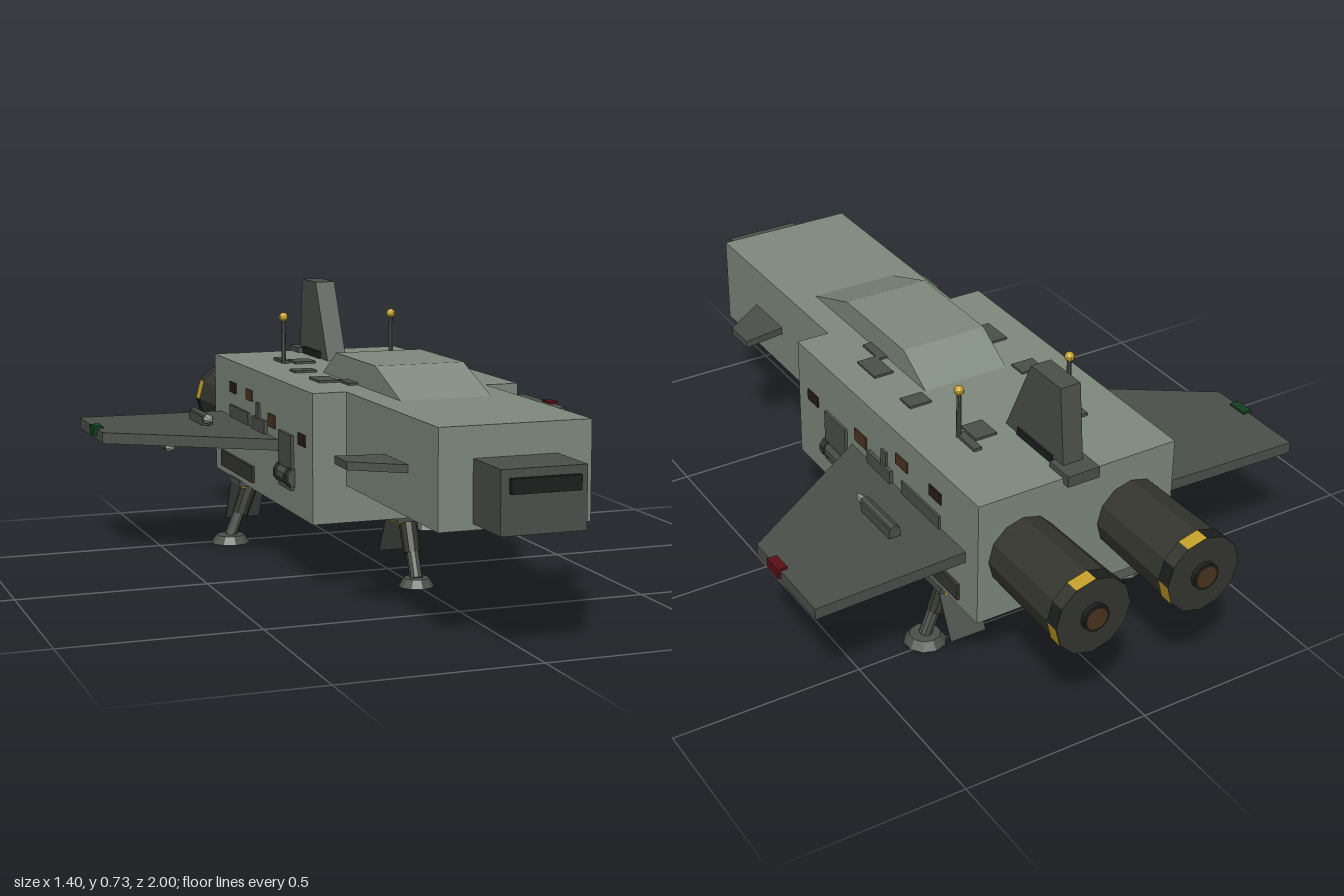
import * as THREE from 'three';

const mat = (color) => new THREE.MeshStandardMaterial({ color, flatShading: true });
const HULL = mat(0x7f8a7e), DARK = mat(0x4c504a), ENGINE = mat(0x35362f), BLACK = mat(0x1c1f1e);
const YELLOW = mat(0xc4a02a), BROWN = mat(0x4a3520), MAROON = mat(0x2c1c1a), RED = mat(0x5a1018);
const GREEN = mat(0x123f20), LIGHT = mat(0xa0a49c);

export function createModel() {
  const root = new THREE.Group();

  const add = (name, geo, material) => {
    const m = new THREE.Mesh(geo, material);
    m.name = name;
    root.add(m);
    return m;
  };
  // box given by its extents on each axis
  const box = (name, x0, x1, y0, y1, z0, z1, material) => {
    const m = add(name, new THREE.BoxGeometry(Math.abs(x1 - x0), y1 - y0, Math.abs(z1 - z0)), material);
    m.position.set((x0 + x1) / 2, (y0 + y1) / 2, (z0 + z1) / 2);
    return m;
  };
  const shape = (pts) => new THREE.Shape(pts.map(([a, b]) => new THREE.Vector2(a, b)));
  // plan outline (x, z), extruded from y0 to y1
  const slab = (name, pts, y0, y1, material) => {
    const g = new THREE.ExtrudeGeometry(shape(pts), { depth: y1 - y0, bevelEnabled: false });
    g.rotateX(Math.PI / 2).translate(0, y1, 0);
    return add(name, g, material);
  };
  // side outline (z, y), extruded across x
  const profile = (name, pts, width, material) => {
    const g = new THREE.ExtrudeGeometry(shape(pts), { depth: width, bevelEnabled: false });
    g.rotateY(-Math.PI / 2).translate(width / 2, 0, 0);
    return add(name, g, material);
  };
  // round bar between two points
  const rod = (name, a, b, ra, rb, sides, material) => {
    const p = new THREE.Vector3(...a), q = new THREE.Vector3(...b), d = q.clone().sub(p);
    const m = add(name, new THREE.CylinderGeometry(rb, ra, d.length(), sides), material);
    m.position.copy(p).add(q).multiplyScalar(0.5);
    m.quaternion.setFromUnitVectors(new THREE.Vector3(0, 1, 0), d.normalize());
    return m;
  };
  const ball = (name, x, y, z, r, material) =>
    add(name, new THREE.SphereGeometry(r, 10, 8), material).position.set(x, y, z);

  // fuselage
  box('mainHull', -0.28, 0.28, 0.18, 0.515, -0.69, 0.21, HULL);
  box('forwardHull', -0.19, 0.19, 0.275, 0.515, 0.2, 0.83, HULL);
  box('nose', -0.105, 0.105, 0.29, 0.44, 0.82, 0.985, DARK);
  box('noseSlot', -0.085, 0.085, 0.385, 0.42, 0.97, 1.0, BLACK);
  profile('canopy', [[0.41, 0.515], [0.23, 0.58], [-0.07, 0.58], [-0.18, 0.515]], 0.24, HULL);

  // tail fin and its footing
  profile('tailFin', [[-0.41, 0.51], [-0.665, 0.51], [-0.64, 0.73], [-0.515, 0.73]], 0.056, DARK);
  box('finFooting', -0.045, 0.045, 0.5, 0.53, -0.71, -0.63, DARK);
  box('finCollar', -0.034, 0.034, 0.51, 0.535, -0.62, -0.47, BLACK);

  // belly details
  box('bellyBracket', -0.045, 0.045, 0.172, 0.195, -0.705, -0.63, DARK);
  for (let i = 0; i < 4; i++) {
    const x = -0.12 + i * 0.08;
    box('bellyVent', x - 0.03, x + 0.03, 0.173, 0.185, -0.61, -0.56, BLACK);
  }
  box('gunPlate', -0.145, 0.145, 0.268, 0.28, 0.235, 0.46, DARK);

  // landing leg: top joint, foot centre, foot radius, door z and half width
  const leg = (top, foot, r, half, doorZ, drop) => {
    const [x, , z] = top;
    box('gearBay', x - half, x + half, 0.165, 0.183, z - 0.05, z + 0.05, DARK);
    for (const s of [-1, 1]) box('gearHinge', x + s * 0.03 - 0.008, x + s * 0.03 + 0.008, 0.158, 0.17, z - 0.05, z + 0.03, YELLOW);
    rod('legUpper', top, [0, 1, 2].map((i) => top[i] * 0.45 + foot[i] * 0.55), 0.025, 0.023, 10, ENGINE);
    rod('legLower', top, [foot[0], 0.02, foot[2]], 0.017, 0.017, 10, DARK);
    rod('foot', [foot[0], 0, foot[2]], [foot[0], 0.022, foot[2]], r, r * 0.72, 10, DARK);
    const door = box('gearDoor', x - half, x + half, 0.17 - drop, 0.17, -0.003, 0.003, DARK);
    door.position.z = doorZ;
    door.rotation.x = 0.47;
  };
  leg([0, 0.18, 0.14], [0, 0, 0.21], 0.046, 0.045, 0.078, 0.11);

  for (const s of [-1, 1]) {
    leg([s * 0.235, 0.18, -0.48], [s * 0.3, 0, -0.48], 0.055, 0.05, -0.55, 0.125);

    // wings, canards and tip lights
    slab('wing', [[s * 0.27, -0.635], [s * 0.69, -0.65], [s * 0.69, -0.355], [s * 0.27, -0.073]], 0.325, 0.355, DARK);
    slab('canard', [[s * 0.18, 0.487], [s * 0.31, 0.465], [s * 0.31, 0.555], [s * 0.18, 0.65]], 0.38, 0.4, DARK);
    box('tipLight', s * 0.672, s * 0.698, 0.335, 0.361, -0.48, -0.425, s > 0 ? RED : GREEN);

    // missiles above and below the wing
    for (const [x, y, z, dir] of [[0.395, 0.376, -0.5, -1], [0.5, 0.302, -0.515, 1]]) {
      box('missileRail', s * x - 0.015, s * x + 0.015, y - 0.012 + dir * 0.006, y + 0.012 + dir * 0.006, z, z + 0.14, DARK);
      rod('missileBody', [s * x, y, z], [s * x, y, z + 0.15], 0.014, 0.014, 8, DARK);
      rod('missileTip', [s * x, y, z + 0.15], [s * x, y, z + 0.19], 0.014, 0.001, 8, LIGHT);
    }

    // engine with hazard band and nozzle
    const ex = s * 0.155, ey = 0.348;
    rod('engine', [ex, ey, -0.68], [ex, ey, -0.985], 0.095, 0.102, 12, ENGINE);
    for (let i = 0; i < 12; i++) {
      const g = new THREE.CylinderGeometry(0.104, 0.104, 0.038, 1, 1, true, (i * Math.PI) / 6, Math.PI / 6);
      const band = add('hazardBand', g.rotateX(-Math.PI / 2), i % 3 === 0 ? YELLOW : i % 3 === 1 ? ENGINE : BLACK);
      band.position.set(ex, ey, -0.968);
    }
    rod('nozzleRim', [ex, ey, -0.98], [ex, ey, -0.997], 0.036, 0.036, 12, BLACK);
    rod('nozzle', [ex, ey, -0.98], [ex, ey, -1.0], 0.03, 0.03, 12, BROWN);

    // antenna
    rod('antenna', [s * 0.16, 0.51, -0.405], [s * 0.16, 0.64, -0.405], 0.007, 0.006, 8, DARK);
    ball('antennaBall', s * 0.16, 0.645, -0.405, 0.013, YELLOW);
    box('antennaBase', s * 0.143, s * 0.165, 0.51, 0.523, -0.485, -0.4, DARK);

    // chin gun
    const gx = s * 0.067;
    box('gunPylon', gx - 0.012, gx + 0.012, 0.24, 0.27, 0.37, 0.45, DARK);
    rod('gunBarrel', [gx, 0.235, 0.36], [gx, 0.235, 0.575], 0.012, 0.012, 8, DARK);
    rod('gunTip', [gx, 0.235, 0.57], [gx, 0.235, 0.583], 0.016, 0.016, 10, YELLOW);

    // deck panels: x0, x1, z0, z1
    for (const [x0, x1, z0, z1] of [[0.075, 0.135, -0.445, -0.375], [0.135, 0.197, -0.235, -0.185],
      [0.145, 0.2, -0.06, 0.03], [0.12, 0.145, 0.015, 0.1]])
      box('deckPanel', s * x0, s * x1, 0.51, 0.521, z0, z1, DARK);

    // side panels: y0, y1, z0, z1, outer x, material
    for (const [y0, y1, z0, z1, x, m] of [
      [0.37, 0.4, 0.1, 0.155, 0.284, MAROON], [0.38, 0.415, -0.16, -0.1, 0.284, BROWN],
      [0.425, 0.455, -0.365, -0.31, 0.284, BROWN], [0.425, 0.455, -0.525, -0.47, 0.284, MAROON],
      [0.24, 0.385, -0.055, 0.055, 0.288, DARK], [0.32, 0.39, -0.29, -0.175, 0.29, DARK],
      [0.39, 0.43, -0.265, -0.24, 0.286, DARK], [0.355, 0.39, -0.52, -0.34, 0.286, DARK],
      [0.2, 0.245, -0.61, -0.3, 0.288, ENGINE]])
      box('sidePanel', s * 0.27, s * x, y0, y1, z0, z1, m);

    // side canister with end caps
    rod('sideCanister', [s * 0.275, 0.275, -0.065], [s * 0.275, 0.275, 0.065], 0.026, 0.026, 10, DARK);
    for (const z of [-0.045, 0.045])
      rod('canisterStrap', [s * 0.275, 0.275, z - 0.008], [s * 0.275, 0.275, z + 0.008], 0.03, 0.03, 10, ENGINE);
  }

  return root;
}
